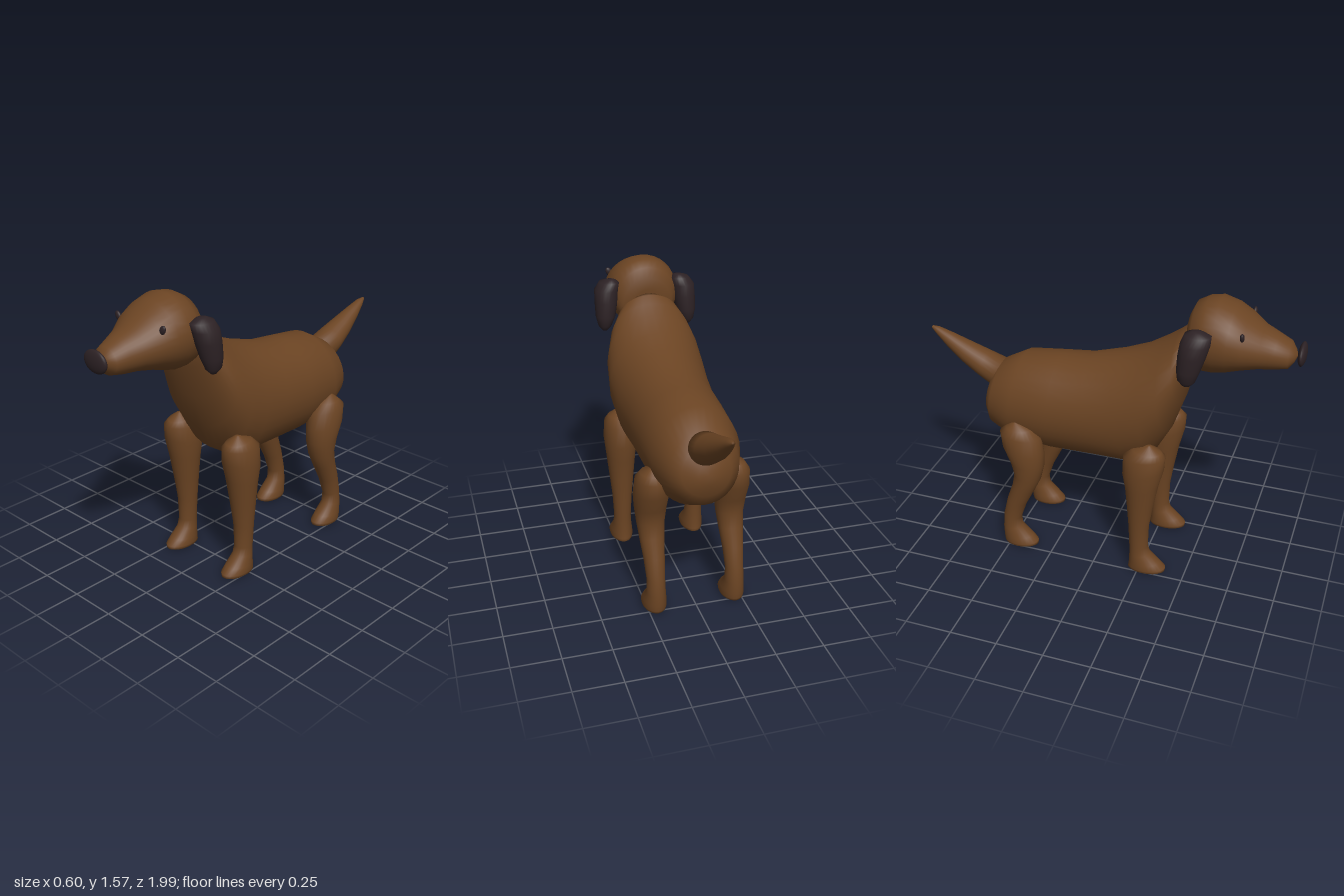
import * as THREE from 'three';

const coat = new THREE.MeshStandardMaterial({ color: 0x6b4423 });
coat.name = 'brown coat';
const dark = new THREE.MeshStandardMaterial({ color: 0x2d2225 });
dark.name = 'dark brown';

// Skin elliptical rings: each ring is [z1, y1, z2, y2, halfWidth, centreX],
// where the two z,y points are opposite ends of the ellipse.
function loft(name, rings, material, sides = 24) {
  const pos = [], index = [];
  for (const [z1, y1, z2, y2, w, x = 0] of rings) {
    for (let j = 0; j < sides; j++) {
      const t = (j / sides) * Math.PI * 2, c = Math.cos(t) / 2;
      pos.push(x + w * Math.sin(t), (y1 + y2) / 2 + (y1 - y2) * c, (z1 + z2) / 2 + (z1 - z2) * c);
    }
  }
  for (let i = 0; i < rings.length - 1; i++) {
    for (let j = 0; j < sides; j++) {
      const a = i * sides + j, b = i * sides + (j + 1) % sides;
      index.push(a, a + sides, b, b, a + sides, b + sides);
    }
  }
  // close both ends
  const last = (rings.length - 1) * sides;
  for (const [start, flip] of [[0, false], [last, true]]) {
    const [z1, y1, z2, y2, , x = 0] = rings[start / sides];
    const centre = pos.length / 3;
    pos.push(x, (y1 + y2) / 2, (z1 + z2) / 2);
    for (let j = 0; j < sides; j++) {
      const a = start + j, b = start + (j + 1) % sides;
      if (flip) index.push(centre, b, a);
      else index.push(centre, a, b);
    }
  }
  const geo = new THREE.BufferGeometry();
  geo.setAttribute('position', new THREE.Float32BufferAttribute(pos, 3));
  geo.setIndex(index);
  geo.computeVertexNormals();
  const mesh = new THREE.Mesh(geo, material);
  mesh.name = name;
  return mesh;
}

function ellipsoid(name, [x, y, z], [rx, ry, rz], material) {
  const mesh = new THREE.Mesh(new THREE.SphereGeometry(1, 20, 14), material);
  mesh.name = name;
  mesh.position.set(x, y, z);
  mesh.scale.set(rx, ry, rz);
  return mesh;
}

// Mirrored rings for the left (+1) and right (-1) side
const onSide = (rings, s, x0) => rings.map(([a, b, c, d, w, x = x0]) => [a, b, c, d, w, s * x]);

// Rump to neck, upper edge then lower edge
const bodyRings = [
  [-0.66, 0.90, -0.68, 0.80, 0.05],
  [-0.625, 0.98, -0.66, 0.73, 0.125],
  [-0.58, 1.04, -0.63, 0.67, 0.175],
  [-0.45, 1.11, -0.50, 0.60, 0.225],
  [-0.25, 1.133, -0.28, 0.585, 0.237],
  [-0.10, 1.15, 0.00, 0.59, 0.24],
  [0.07, 1.20, 0.16, 0.592, 0.255],
  [0.20, 1.25, 0.28, 0.67, 0.265],
  [0.30, 1.31, 0.36, 0.82, 0.255],
  [0.37, 1.36, 0.42, 1.00, 0.218],
  [0.41, 1.395, 0.45, 1.17, 0.165],
  [0.43, 1.40, 0.455, 1.23, 0.11],
];

// Back of skull to muzzle
const headRings = [
  [0.428, 1.42, 0.44, 1.26, 0.08],
  [0.43, 1.48, 0.45, 1.205, 0.135],
  [0.455, 1.535, 0.475, 1.198, 0.165],
  [0.51, 1.565, 0.52, 1.19, 0.187],
  [0.575, 1.575, 0.57, 1.19, 0.195],
  [0.65, 1.55, 0.63, 1.205, 0.192],
  [0.715, 1.51, 0.70, 1.228, 0.175],
  [0.79, 1.455, 0.78, 1.243, 0.13],
  [0.86, 1.425, 0.85, 1.247, 0.10],
  [0.92, 1.395, 0.92, 1.26, 0.078],
  [0.945, 1.36, 0.945, 1.295, 0.04],
  [0.957, 1.335, 0.957, 1.325, 0.007],
];

// Root to tip, lower edge then upper edge
const tailRings = [
  [-0.65, 0.89, -0.58, 1.04, 0.086],
  [-0.72, 0.935, -0.67, 1.07, 0.08],
  [-0.81, 0.995, -0.77, 1.107, 0.064],
  [-0.90, 1.07, -0.875, 1.147, 0.042],
  [-0.96, 1.13, -0.95, 1.173, 0.024],
  [-0.993, 1.163, -0.988, 1.177, 0.008],
];

// Shoulder to paw, front edge then back edge
const frontLegRings = [
  [0.30, 0.805, 0.28, 0.805, 0.012],
  [0.355, 0.768, 0.205, 0.778, 0.058],
  [0.377, 0.745, 0.157, 0.732, 0.083],
  [0.372, 0.67, 0.154, 0.62, 0.09],
  [0.345, 0.56, 0.17, 0.53, 0.08],
  [0.32, 0.42, 0.18, 0.42, 0.067],
  [0.30, 0.29, 0.19, 0.29, 0.054],
  [0.297, 0.16, 0.196, 0.16, 0.047],
  [0.31, 0.115, 0.197, 0.10, 0.051],
  [0.365, 0.065, 0.195, 0.055, 0.06],
  [0.397, 0.035, 0.193, 0.025, 0.064],
  [0.397, 0.018, 0.19, 0.012, 0.06],
  [0.38, 0.008, 0.20, 0.005, 0.05],
];

// Hip to paw
const hindLegRings = [
  [-0.43, 0.805, -0.45, 0.805, 0.012],
  [-0.35, 0.772, -0.49, 0.775, 0.058],
  [-0.303, 0.725, -0.525, 0.745, 0.083],
  [-0.288, 0.63, -0.513, 0.66, 0.09],
  [-0.29, 0.55, -0.475, 0.57, 0.082],
  [-0.312, 0.46, -0.455, 0.49, 0.072],
  [-0.35, 0.38, -0.47, 0.41, 0.064],
  [-0.40, 0.28, -0.505, 0.31, 0.054],
  [-0.435, 0.18, -0.532, 0.20, 0.047],
  [-0.43, 0.125, -0.54, 0.11, 0.05],
  [-0.37, 0.068, -0.539, 0.055, 0.06],
  [-0.34, 0.035, -0.537, 0.025, 0.064],
  [-0.34, 0.018, -0.533, 0.012, 0.06],
  [-0.358, 0.008, -0.52, 0.005, 0.05],
];

// Hanging ear, top to tip
const earRings = [
  [0.52, 1.473, 0.48, 1.475, 0.02, 0.19],
  [0.575, 1.457, 0.445, 1.46, 0.055, 0.195],
  [0.575, 1.42, 0.43, 1.42, 0.065, 0.213],
  [0.56, 1.36, 0.422, 1.36, 0.062, 0.219],
  [0.535, 1.28, 0.42, 1.28, 0.054, 0.226],
  [0.515, 1.225, 0.428, 1.23, 0.036, 0.232],
  [0.49, 1.20, 0.455, 1.20, 0.012, 0.234],
];

export function createModel() {
  const dog = new THREE.Group();
  dog.name = 'dog';
  dog.add(loft('body', bodyRings, coat, 32));
  dog.add(loft('head', headRings, coat, 32));
  dog.add(loft('tail', tailRings, coat));
  dog.add(ellipsoid('nose', [0, 1.34, 0.978], [0.078, 0.057, 0.021], dark));

  for (const [s, side] of [[1, 'left'], [-1, 'right']]) {
    dog.add(loft(`${side}FrontLeg`, onSide(frontLegRings, s, 0.21), coat));
    dog.add(loft(`${side}HindLeg`, onSide(hindLegRings, s, 0.21), coat));
    dog.add(loft(`${side}Ear`, onSide(earRings, s, 0.21), dark));
    const eye = ellipsoid(`${side}Eye`, [s * 0.151, 1.453, 0.71], [0.017, 0.025, 0.011], dark);
    eye.rotation.z = -s * 0.5;
    dog.add(eye);
  }
  return dog;
}
